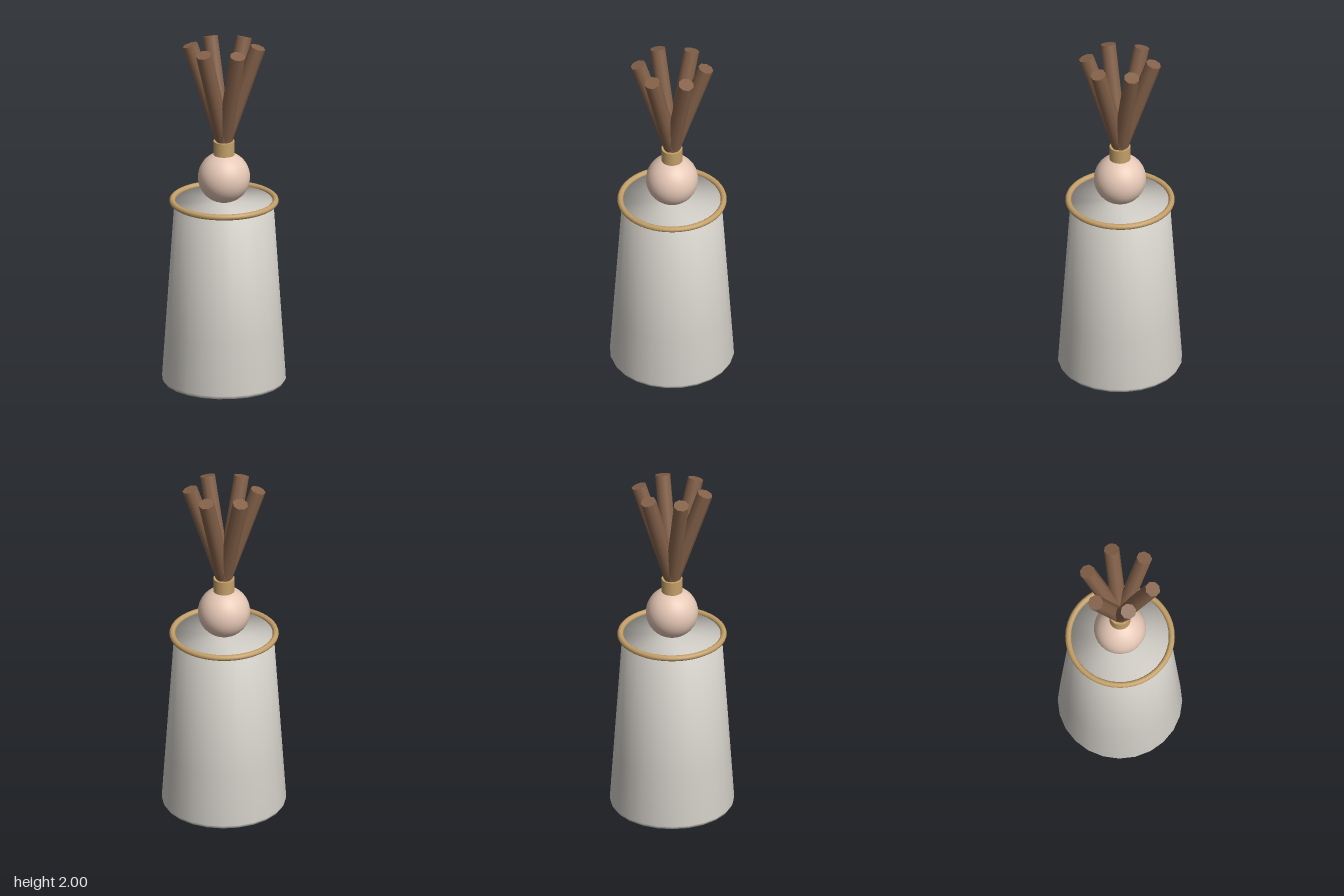
import * as THREE from 'three';

const mat = (name, color) => {
  const m = new THREE.MeshStandardMaterial({ color });
  m.name = name;
  return m;
};

export function createModel() {
  const model = new THREE.Group();
  const stone = mat('pale grey', 0xd4d0c9);
  const brass = mat('brass', 0xc4a068);
  const blush = mat('blush', 0xe6c8b6);
  const wood = mat('brown wood', 0x85624a);

  const add = (name, geometry, material, y = 0) => {
    const mesh = new THREE.Mesh(geometry, material);
    mesh.name = name;
    mesh.position.y = y;
    model.add(mesh);
    return mesh;
  };

  // Tapered body with a softened bottom edge and closed top
  const profile = [[0, 0], [0.34, 0], [0.35, 0.02], [0.33, 0.32], [0.28, 1.065], [0, 1.065]]
    .map(([r, y]) => new THREE.Vector2(r, y));
  add('body', new THREE.LatheGeometry(profile, 24), stone);

  // Ring around the top edge
  const ring = new THREE.TorusGeometry(0.291, 0.017, 10, 48).rotateX(Math.PI / 2);
  add('rimRing', ring, brass, 1.067);

  // Ball and the collar that holds the sticks
  add('ball', new THREE.SphereGeometry(0.147, 32, 20), blush, 1.207);
  add('collar', new THREE.CylinderGeometry(0.06, 0.06, 0.084, 20), brass, 1.379);

  // Six sticks fanning out from the collar
  const length = 0.6;
  const tilt = 0.325;
  const stick = new THREE.CylinderGeometry(0.0445, 0.0445, length, 8)
    .translate(0, length / 2, 0)
    .rotateX(tilt);
  for (let i = 0; i < 6; i++) {
    const mesh = add('stick' + (i + 1), stick, wood, 1.417);
    mesh.rotation.y = Math.PI / 2 + (i * Math.PI) / 3;
  }

  return model;
}
